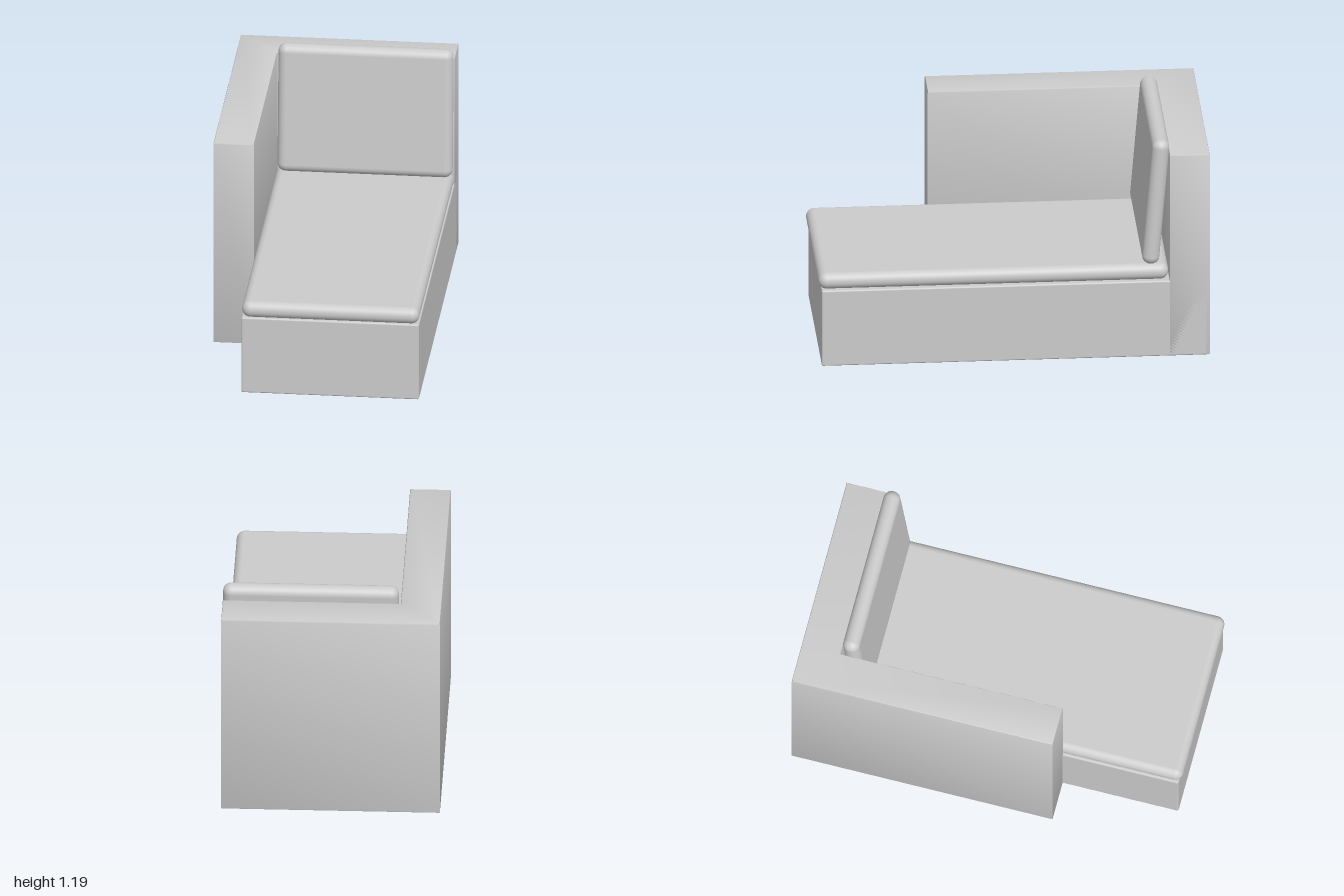
import * as THREE from 'three';
import { RoundedBoxGeometry } from 'three/addons/geometries/RoundedBoxGeometry.js';
import { toCreasedNormals } from 'three/addons/utils/BufferGeometryUtils.js';

const material = new THREE.MeshStandardMaterial({ color: 0xcccccc });

// Box with rounded edges, given by its min and max corners
function roundedBlock(name, min, max, radius, segments) {
  const size = max.map((v, i) => v - min[i]);
  const mesh = new THREE.Mesh(new RoundedBoxGeometry(...size, segments, radius), material);
  mesh.position.set(...max.map((v, i) => (v + min[i]) / 2));
  mesh.name = name;
  return mesh;
}

// Upright prism with slightly bevelled edges from a floor plan of [x, z] points
function bevelledWall(name, plan, height, bevel) {
  const shape = new THREE.Shape(plan.map(([x, z]) => new THREE.Vector2(x, -z)));
  const geometry = new THREE.ExtrudeGeometry(shape, {
    depth: height - 2 * bevel,
    bevelThickness: bevel,
    bevelSize: bevel,
    bevelOffset: -bevel,
    bevelSegments: 2,
  });
  geometry.translate(0, 0, bevel).rotateX(-Math.PI / 2);
  const mesh = new THREE.Mesh(toCreasedNormals(geometry, 0.6), material);
  mesh.name = name;
  return mesh;
}

export function createModel() {
  const group = new THREE.Group();
  group.name = 'chaiseSofa';

  // L-shaped wall: one armrest joined to the backrest
  group.add(bevelledWall('armAndBackFrame', [
    [-0.56, 0.375], [-0.352, 0.375], [-0.352, -0.795],
    [0.557, -0.795], [0.557, -1], [-0.56, -1],
  ], 1.115, 0.008));

  // Long base, running into the backrest
  group.add(roundedBlock('base', [-0.354, 0, -0.99], [0.557, 0.417, 0.985], 0.008, 2));

  // Seat cushion
  group.add(roundedBlock('seatCushion', [-0.352, 0.417, -0.79], [0.557, 0.503, 1], 0.042, 6));

  // Back cushion, leaning against the backrest
  const backCushion = roundedBlock('backCushion',
    [-0.341, 0.5, -0.77], [0.557, 1.187, -0.682], 0.043, 6);
  backCushion.rotation.x = -0.084;
  group.add(backCushion);

  return group;
}
